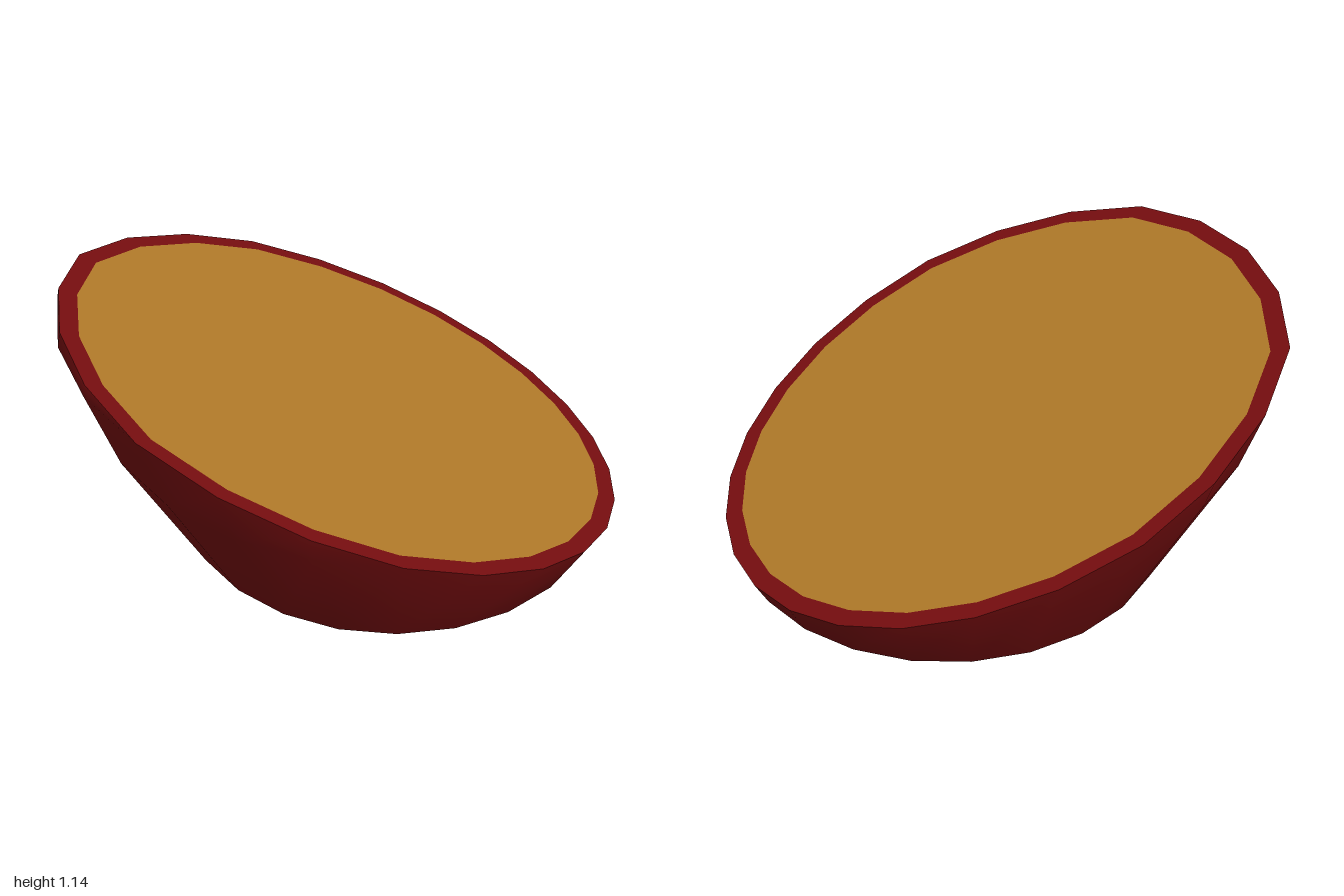
import * as THREE from 'three';
import { mergeVertices } from 'three/addons/utils/BufferGeometryUtils.js';

const SIDES = 24;
const AXIS_X = 0.16; // the bowl's axis stands off centre
const INSET = 0.9375; // inner edge of the rim, relative to the outer edge
const PROFILE = [[0, 0], [0.3, 0.02], [0.55, 0.08], [0.757, 0.24], [1.032, 0.78], [1.133, 1.085], [1.11, 1.2]];

// Height above the slanted cutting plane
const above = (p) => p.y - (0.73 - 0.427 * p.x);

// One column of the lathed bowl, with everything above the cut clamped to it
function column(i) {
  const a = (i % SIDES) / SIDES * Math.PI * 2;
  const pts = PROFILE.map(([r, y]) => new THREE.Vector3(AXIS_X + r * Math.cos(a), y, r * Math.sin(a)));
  const k = pts.findIndex((p) => above(p) > 0);
  const d0 = above(pts[k - 1]), d1 = above(pts[k]);
  const cut = pts[k - 1].clone().lerp(pts[k], -d0 / (d1 - d0));
  return pts.map((p, j) => (j < k ? p : cut));
}

function meshFrom(name, triangles, color) {
  const solid = triangles.filter((t) => new THREE.Triangle(...t).getArea() > 1e-7);
  let geometry = new THREE.BufferGeometry().setFromPoints(solid.flat());
  geometry = mergeVertices(geometry, 1e-4);
  geometry.computeVertexNormals();
  const mesh = new THREE.Mesh(geometry, new THREE.MeshStandardMaterial({ color }));
  mesh.name = name;
  return mesh;
}

export function createModel() {
  const wall = [], rim = [], filling = [];
  const centre = new THREE.Vector3(0, 0.73, 0);
  const inset = (p) => centre.clone().lerp(p, INSET);

  for (let i = 0; i < SIDES; i++) {
    const a = column(i), b = column(i + 1);
    // Outer wall
    for (let j = 0; j < PROFILE.length - 1; j++) {
      wall.push([a[j], a[j + 1], b[j]], [b[j], a[j + 1], b[j + 1]]);
    }
    // Flat rim and filled surface on the slanted cut
    const oa = a.at(-1), ob = b.at(-1), ia = inset(oa), ib = inset(ob);
    rim.push([ia, ib, oa], [ib, ob, oa]);
    filling.push([centre, ib, ia]);
  }

  const group = new THREE.Group();
  group.name = 'slantedBowl';
  group.add(
    meshFrom('bowlWall', wall, 0x7a0e10),
    meshFrom('rim', rim, 0x7a0e10),
    meshFrom('filling', filling, 0xb57d2a),
  );
  return group;
}
